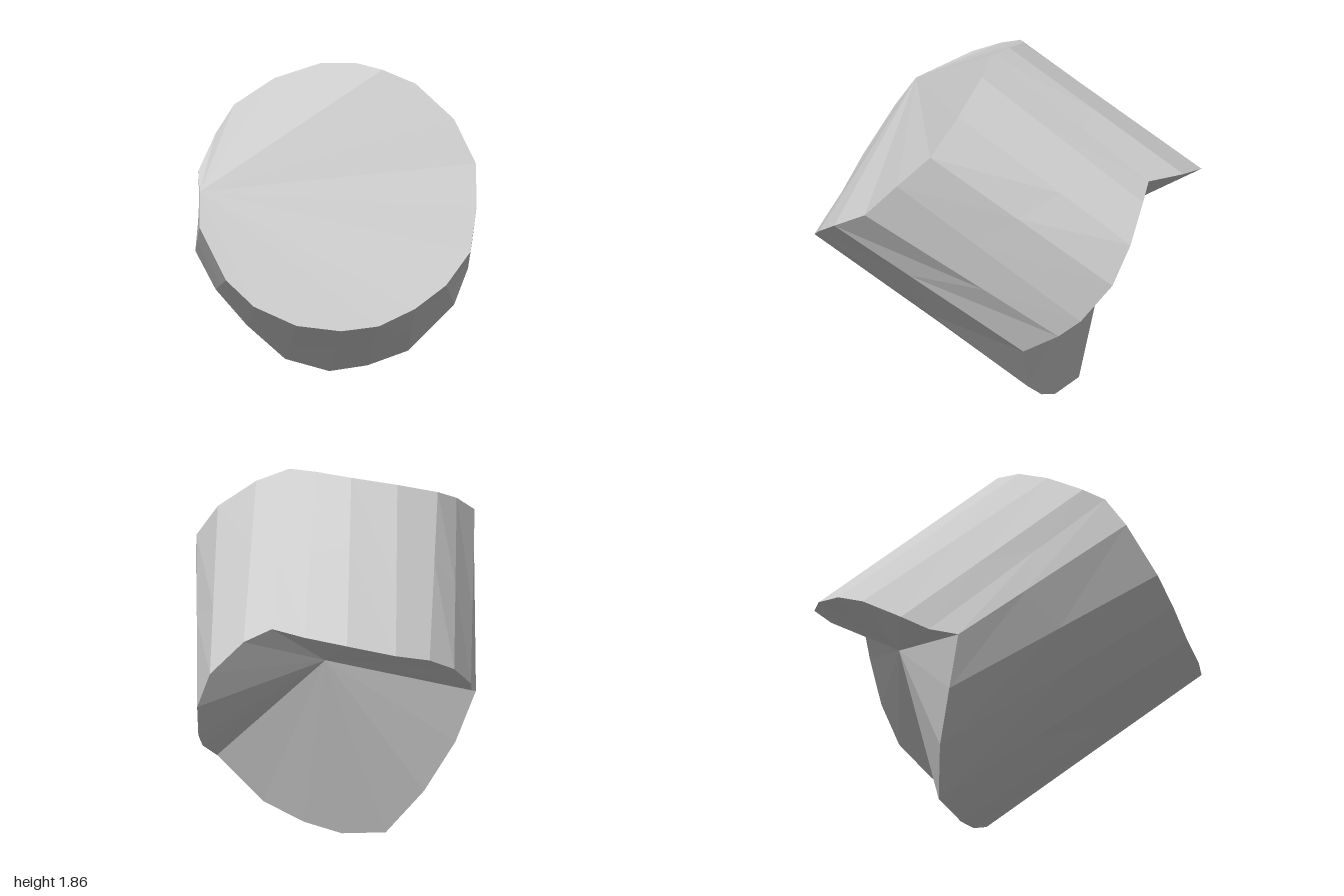
import * as THREE from 'three';

const V = (p) => new THREE.Vector3(...p);

// Front rim, from the top, clockwise as seen facing it
const frontRim = [
  [0.05, 1.855, -0.1], [0.2, 1.85, -0.12], [0.35, 1.78, -0.2], [0.56, 1.62, -0.24],
  [0.72, 1.43, -0.2], [0.82, 1.27, -0.06], [0.89, 1.1, 0.1], [0.89, 1.0, 0.32],
  [0.82, 0.92, 0.5], [0.7, 0.85, 0.65], [0.55, 0.83, 0.77], [0.35, 0.85, 0.88],
  [0.15, 0.94, 0.97], [0, 1.06, 1.0], [-0.19, 1.29, 0.96], [-0.25, 1.44, 0.87],
  [-0.32, 1.5, 0.78], [-0.355, 1.62, 0.57], [-0.37, 1.7, 0.38], [-0.28, 1.78, 0.15],
  [-0.12, 1.835, -0.03],
].map(V);

// Broken back rim, point for point along the slanted axis
const backRim = [
  [-0.42, 1.25, -0.88], [-0.2, 1.25, -0.85], [-0.08, 1.18, -0.93], [0.08, 1.0, -1.0],
  [0.18, 0.8, -0.97], [0.27, 0.6, -0.83], [0.32, 0.51, -0.72], [0.37, 0.4, -0.52],
  [0.19, 0.15, -0.37], [0, 0.05, -0.28], [-0.18, 0, -0.2], [-0.41, 0.03, -0.14],
  [-0.55, 0.24, 0], [-0.64, 0.48, 0.15], [-0.69, 0.73, 0.26], [-0.76, 0.78, 0.12],
  [-0.84, 0.86, 0], [-0.89, 1.0, -0.22], [-0.87, 1.09, -0.41], [-0.8, 1.15, -0.61],
  [-0.63, 1.22, -0.8],
].map(V);

const N = frontRim.length;
const dent = V([-0.3, 1.02, -0.52]); // inner point of the broken end

// Loop between the rims, staggered along the axis for uneven facets
const middleLoop = frontRim.map((f, i) =>
  f.clone().lerp(backRim[i], 0.5 + 0.12 * Math.sin(i * 2.4)));

function facetMesh(name, triangles) {
  const geometry = new THREE.BufferGeometry().setFromPoints(triangles);
  geometry.computeVertexNormals();
  const mesh = new THREE.Mesh(geometry, new THREE.MeshStandardMaterial({
    color: 0xcccccc, flatShading: true, side: THREE.DoubleSide,
  }));
  mesh.name = name;
  return mesh;
}

// Band of quads between two loops
function band(a, b) {
  const out = [];
  for (let i = 0; i < N; i++) {
    const j = (i + 1) % N;
    out.push(a[i], a[j], b[i], a[j], b[j], b[i]);
  }
  return out;
}

// Triangles from one point to every edge of a loop
function fan(apex, loop, flip) {
  const out = [];
  for (let i = 0; i < N; i++) {
    const j = (i + 1) % N;
    if (loop[i] === apex || loop[j] === apex) continue;
    out.push(apex, loop[flip ? j : i], loop[flip ? i : j]);
  }
  return out;
}

export function createModel() {
  const group = new THREE.Group();
  group.name = 'brokenColumnDrum';
  group.add(
    facetMesh('sideWall', [...band(frontRim, middleLoop), ...band(middleLoop, backRim)]),
    facetMesh('frontFace', fan(frontRim[15], frontRim, true)),
    facetMesh('brokenBackFace', fan(dent, backRim, false)),
  );
  return group;
}
